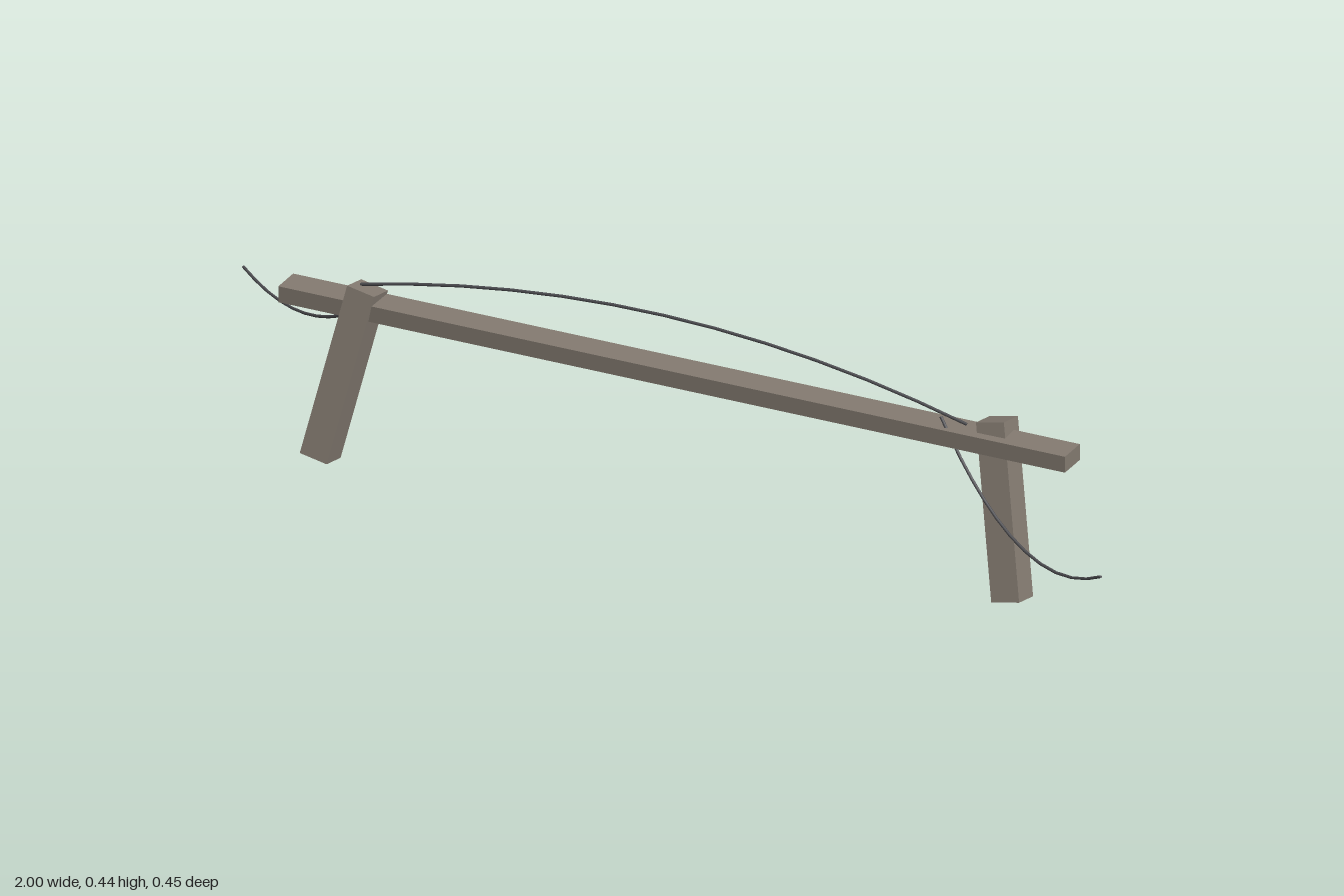
import * as THREE from 'three';

const V = (x, y, z) => new THREE.Vector3(x, y, z);

export function createModel() {
  const group = new THREE.Group();
  const wood = new THREE.MeshStandardMaterial({ color: 0x857c72, flatShading: true });
  const wireMat = new THREE.MeshStandardMaterial({ color: 0x505054 });

  const add = (name, geometry, material) => {
    const mesh = new THREE.Mesh(geometry, material);
    mesh.name = name;
    group.add(mesh);
    return mesh;
  };

  // Long rail, turned slightly so its left end comes forward
  const rail = add('rail', new THREE.BoxGeometry(1.65, 0.033, 0.062), wood);
  rail.position.set(0.03, 0.3105, 0.032);
  rail.rotation.y = -0.016;

  // Two posts, splayed outward and leaning back towards the top
  for (const [name, side, x] of [['rightPost', -1, -0.6575], ['leftPost', 1, 0.7175]]) {
    const post = add(name, new THREE.BoxGeometry(0.058, 0.345, 0.062), wood);
    post.position.set(x, 0.1793, 0.053);
    post.rotation.set(-0.207, 0, side * 0.19);
  }

  // Loose wires: a straight chord bent by a parabola of the given rise
  const addWire = (name, start, end, rise) => {
    const points = [];
    for (let i = 0; i <= 10; i++) {
      const t = i / 10;
      const p = start.clone().lerp(end, t);
      p.y += 4 * rise * t * (1 - t);
      points.push(p);
    }
    const curve = new THREE.CatmullRomCurve3(points);
    add(name, new THREE.TubeGeometry(curve, 12, 0.003, 6), wireMat);
    // Close both ends
    for (const t of [0, 1]) {
      const cap = add(name + 'End', new THREE.CircleGeometry(0.003, 6), wireMat);
      const out = curve.getTangentAt(t).multiplyScalar(t ? 1 : -1);
      cap.position.copy(curve.getPointAt(t));
      cap.quaternion.setFromUnitVectors(V(0, 0, 1), out);
    }
  };
  addWire('middleWire', V(-0.64, 0.349, 0.016), V(0.655, 0.358, 0.087), 0.081);
  addWire('rightWire', V(-0.6, 0.33, 0.012), V(-1, 0.207, -0.224), -0.07);
  addWire('leftWire', V(0.585, 0.345, 0.053), V(1, 0.172, 0.224), -0.1055);

  return group;
}
